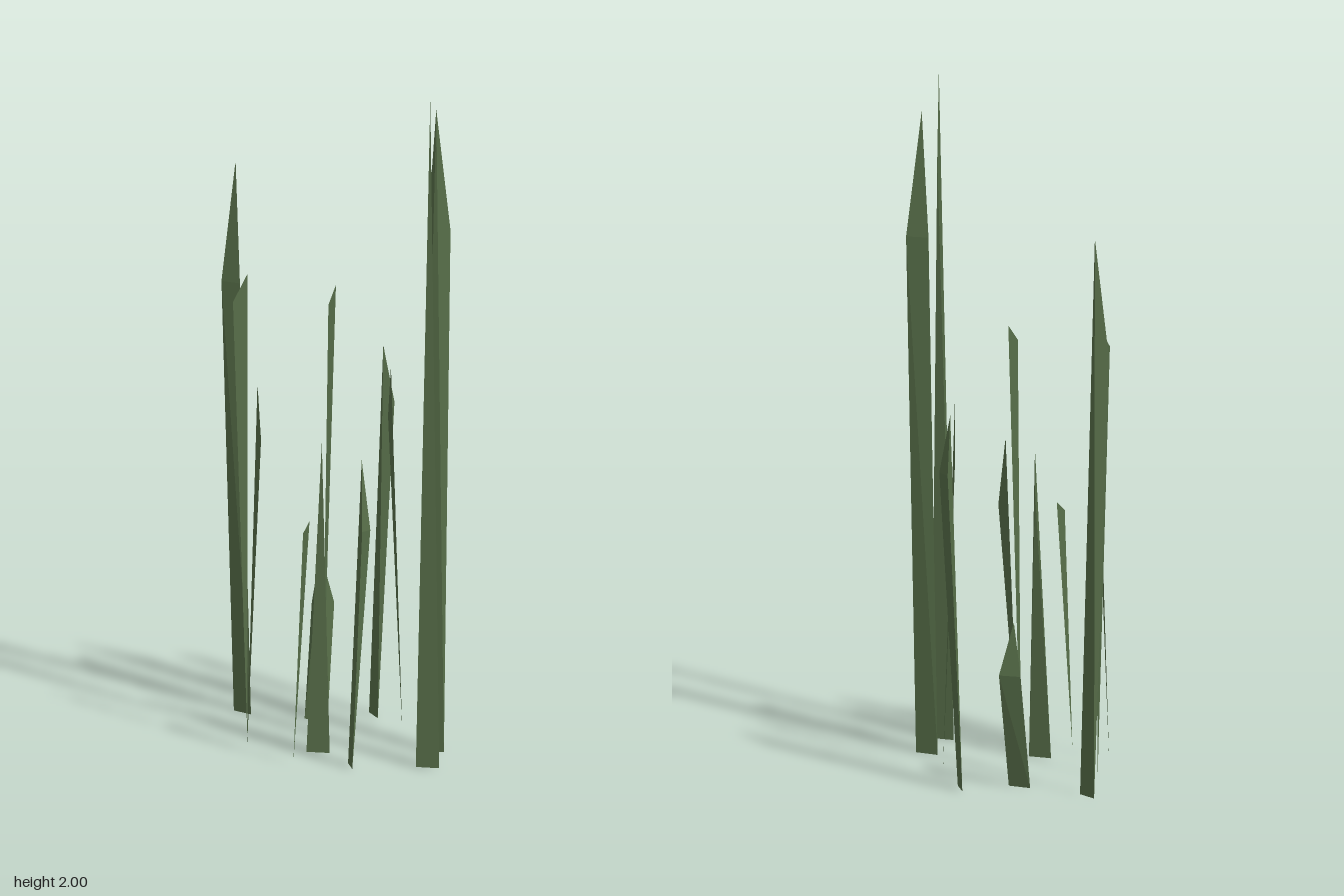
import * as THREE from 'three';
import { ConvexGeometry } from 'three/addons/geometries/ConvexGeometry.js';

const toVectors = (points) => points.map((p) => new THREE.Vector3(...p));

// Solid faceted blade: a foot edge, a shoulder edge or corner, and a tip
function solidBlade(foot, shoulderY, shoulder, tip) {
  return new ConvexGeometry(toVectors([
    ...foot.map(([x, z]) => [x, 0, z]),
    ...shoulder.map(([x, z]) => [x, shoulderY, z]),
    tip,
  ]));
}

// Paper-thin blade: one triangle from foot to shoulder to tip
function thinBlade(foot, shoulder, tip) {
  const geometry = new THREE.BufferGeometry().setFromPoints(toVectors([foot, shoulder, tip]));
  geometry.computeVertexNormals();
  return geometry;
}

export function createModel() {
  const group = new THREE.Group();
  group.name = 'grassBlades';
  const green = new THREE.MeshStandardMaterial({ color: 0x566d48, side: THREE.DoubleSide });
  green.name = 'grass green';

  // Broad blades with a two-cornered shoulder: [foot, shoulder height, shoulder, tip]
  const broad = [
    [[[-0.155, -0.41], [-0.125, -0.35]], 1.3, [[-0.205, -0.38], [-0.165, -0.335]], [-0.165, 1.66, -0.37]],
    [[[0.003, -0.25], [0.058, -0.208]], 0.34, [[0.037, -0.28], [0.095, -0.25]], [0.05, 0.495, -0.245]],
    [[[0.203, -0.25], [0.203, -0.18]], 0.94, [[0.245, -0.243], [0.26, -0.193]], [0.23, 1.11, -0.205]],
    [[[0.19, 0.2], [0.245, 0.245]], 1.55, [[0.222, 0.173], [0.283, 0.2]], [0.235, 1.92, 0.21]],
    [[[-0.058, 0.26], [-0.07, 0.325]], 0.71, [[-0.012, 0.32], [-0.043, 0.335]], [-0.028, 0.915, 0.292]],
  ];
  // Narrow blades with a single shoulder corner
  const narrow = [
    [[[-0.125, 0.098], [-0.067, 0.135]], 0.8, [[-0.073, 0.073]], [-0.078, 0.925, 0.1]],
    [[[0.11, 0.37], [0.168, 0.408]], 1.75, [[0.163, 0.347]], [0.153, 2, 0.375]],
  ];
  // Thin blades: [foot, shoulder, tip]
  const thin = [
    [[-0.217, 0, -0.14], [-0.245, 1.29, -0.183], [-0.2, 1.37, -0.183]],
    [[-0.283, 0, 0.028], [-0.255, 0.94, 0.07], [-0.25, 1.1, 0.028]],
    [[-0.21, 0, 0.213], [-0.195, 0.7, 0.253], [-0.168, 0.73, 0.235]],
    [[0.215, 0, -0.013], [0.187, 0.94, -0.055], [0.18, 1.1, -0.013]],
    [[0.002, 0, -0.105], [0.002, 1.29, -0.055], [0.035, 1.34, -0.08]],
  ];

  const addAll = (name, list, build) => list.forEach((data, i) => {
    const mesh = new THREE.Mesh(build(...data), green);
    mesh.name = `${name}${i + 1}`;
    group.add(mesh);
  });
  addAll('broadBlade', broad, solidBlade);
  addAll('narrowBlade', narrow, solidBlade);
  addAll('thinBlade', thin, thinBlade);
  return group;
}
